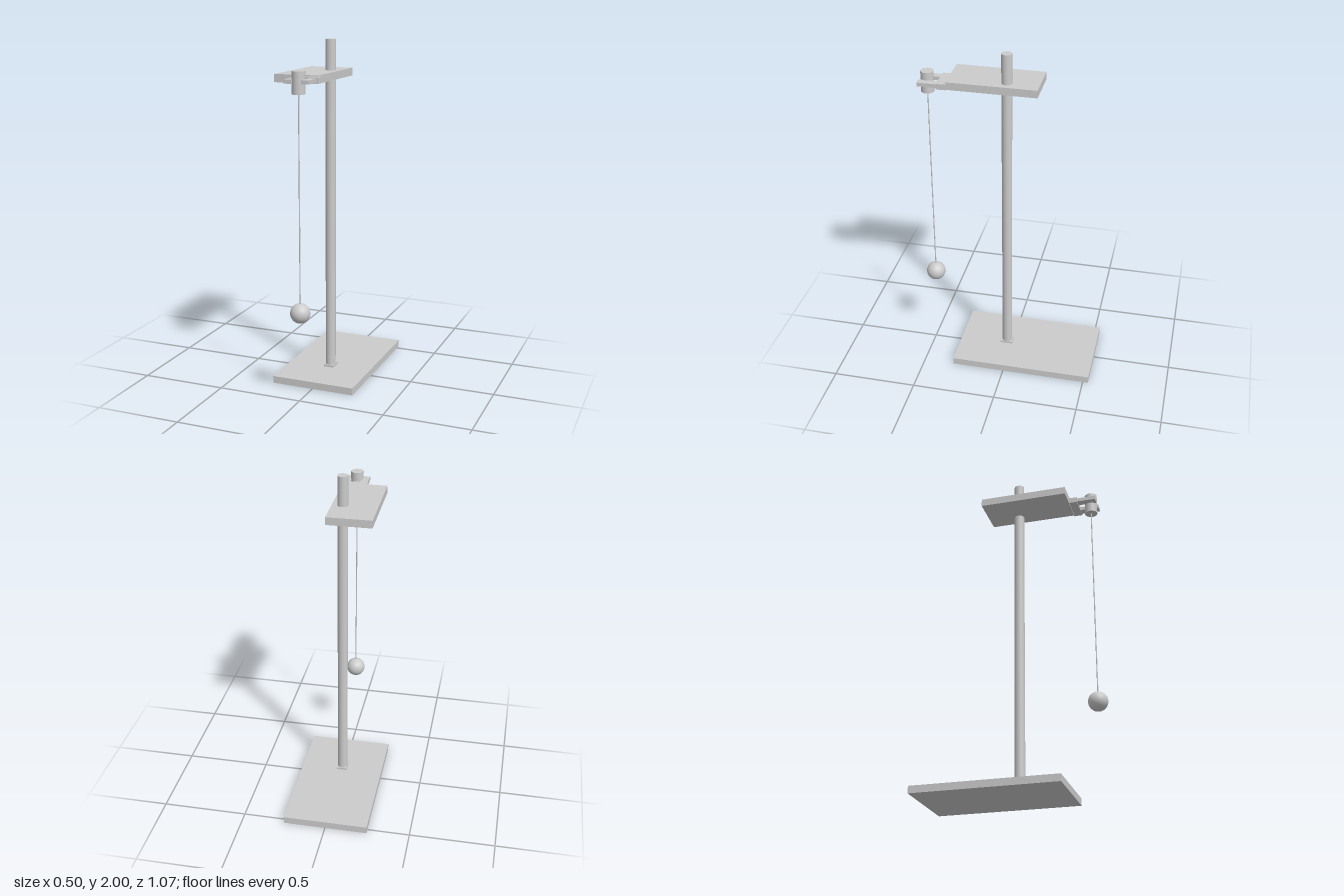
import * as THREE from 'three';

export function createModel() {
  const model = new THREE.Group();
  const material = new THREE.MeshStandardMaterial({ color: 0xcccccc });

  const add = (name, geometry, x, y, z) => {
    const mesh = new THREE.Mesh(geometry, material);
    mesh.name = name;
    mesh.position.set(x, y, z);
    model.add(mesh);
  };
  // Box given by its limits on each axis
  const box = (name, [x0, x1], [y0, y1], [z0, z1]) =>
    add(name, new THREE.BoxGeometry(x1 - x0, y1 - y0, z1 - z0),
      (x0 + x1) / 2, (y0 + y1) / 2, (z0 + z1) / 2);
  // Upright cylinder between two heights
  const rod = (name, radius, y0, y1, z, sides = 32) =>
    add(name, new THREE.CylinderGeometry(radius, radius, y1 - y0, sides), 0, (y0 + y1) / 2, z);

  const poleZ = 0.026, bobZ = 0.479;

  // Stand
  box('base', [-0.25, 0.25], [0, 0.042], [-0.533, 0.316]);
  box('poleFoot', [-0.031, 0.031], [0.04, 0.054], [poleZ - 0.037, poleZ + 0.037]);
  rod('pole', 0.03, 0.04, 2, poleZ);

  // Arm plate and the clamp at its front end
  box('armPlate', [-0.197, 0.062], [1.781, 1.826], [-0.158, 0.361]);
  box('clampBar', [-0.077, 0.081], [1.787, 1.82], [0.355, 0.408]);
  box('rightClampJaw', [-0.071, -0.026], [1.793, 1.815], [0.406, 0.518]);
  box('leftClampJaw', [0.031, 0.076], [1.793, 1.815], [0.406, 0.519]);

  // Pendulum
  rod('stringHolder', 0.037, 1.736, 1.859, bobZ);
  rod('string', 0.0035, 0.55, 1.74, bobZ, 12);
  add('bob', new THREE.SphereGeometry(0.057, 32, 20), 0, 0.516, bobZ);

  return model;
}
